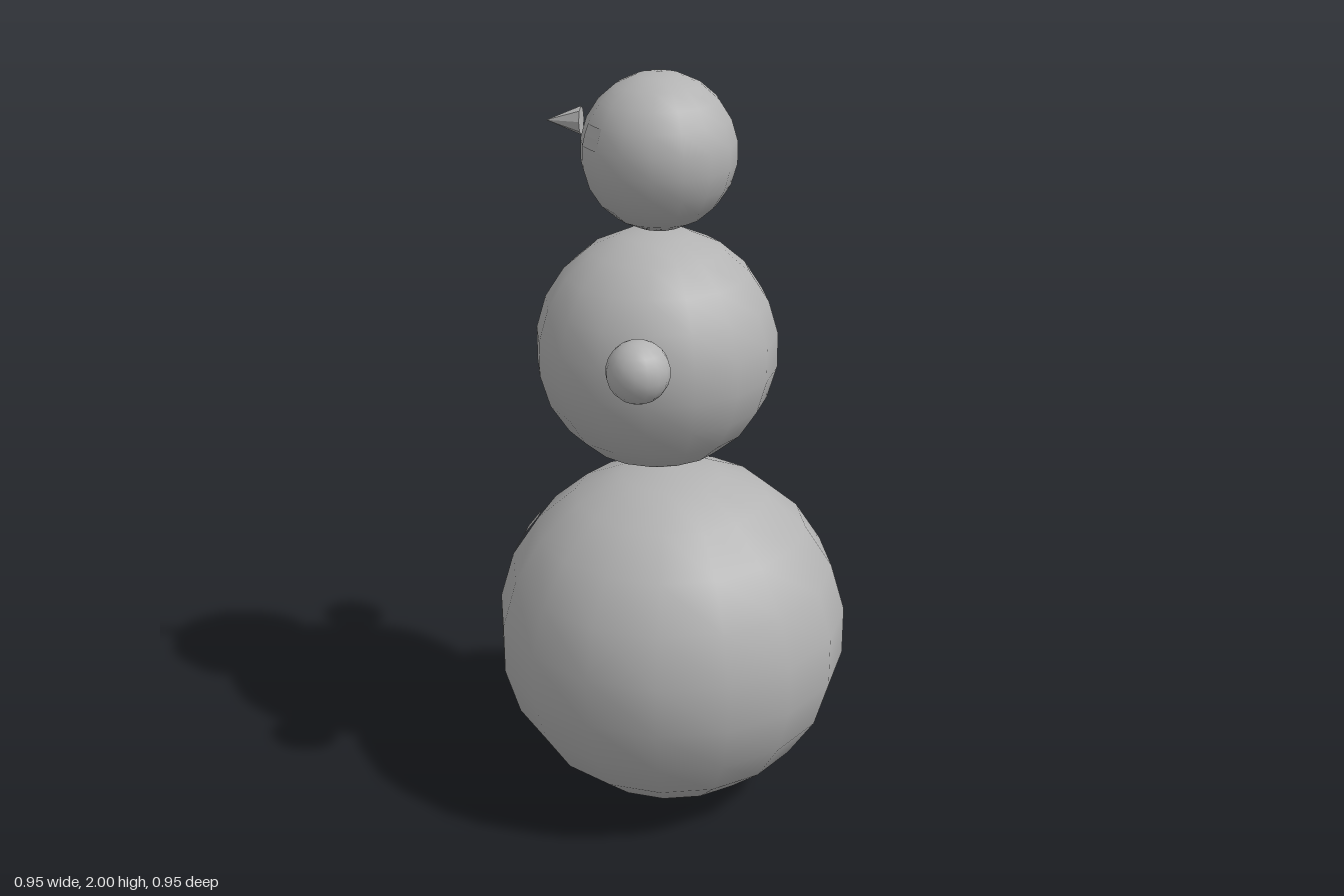
import * as THREE from 'three';

const COLS = 16, ROWS = 11;
const DPHI = (Math.PI * 2) / COLS, DTHETA = Math.PI / ROWS;

export function createModel() {
  const model = new THREE.Group();
  model.name = 'snowman';
  const grey = new THREE.MeshStandardMaterial({ color: 0xb3b3b3 });
  grey.name = 'grey';

  // A smooth ball; details are single flat facets [column, row, name] of its grid
  function ball(name, r, x, y, z, details = []) {
    const group = new THREE.Group();
    group.name = name;
    group.position.set(x, y, z);
    const sphere = new THREE.Mesh(new THREE.SphereGeometry(r, COLS, ROWS), grey);
    sphere.name = name + 'Ball';
    group.add(sphere);
    for (const [col, row, label] of details) {
      const geo = new THREE.SphereGeometry(r * 1.002, 1, 1,
        col * DPHI, DPHI, row * DTHETA, DTHETA).toNonIndexed();
      geo.computeVertexNormals();
      const facet = new THREE.Mesh(geo, grey);
      facet.name = label;
      group.add(facet);
    }
    model.add(group);
  }

  // Stacked balls, with buttons and face all looking along column 13
  ball('base', 0.478, 0, 0.478, 0, [[13, 3, 'upperBaseButton'], [13, 5, 'lowerBaseButton']]);
  ball('torso', 0.318, -0.008, 1.283, -0.049, [[13, 4, 'upperTorsoButton'], [13, 6, 'lowerTorsoButton']]);
  ball('head', 0.199, 0.001, 1.801, -0.049, [[11, 4, 'rightEye'], [15, 4, 'leftEye'], [13, 5, 'mouth']]);

  // Hands
  ball('rightHand', 0.0796, -0.273, 1.352, 0.198);
  ball('leftHand', 0.0796, 0.206, 1.312, -0.369);

  // Nose: narrow cone with a tall oval base, leaning slightly to one side
  const foot = new THREE.Vector3(-0.113, 1.865, -0.216);
  const tip = new THREE.Vector3(-0.177, 1.865, -0.277);
  const cone = new THREE.ConeGeometry(1, 1, 8).translate(0, 0.5, 0);
  cone.applyMatrix4(new THREE.Matrix4().makeBasis(
    new THREE.Vector3(-0.017, 0, 0.011),
    tip.clone().sub(foot),
    new THREE.Vector3(0, 0.037, 0)
  ).setPosition(foot));
  const flatCone = cone.toNonIndexed();
  // Keep the outside facing out whatever the handedness of the lean
  const p = flatCone.attributes.position;
  const a = new THREE.Vector3(), b = new THREE.Vector3(), c = new THREE.Vector3();
  const middle = foot.clone().lerp(tip, 0.3);
  for (let i = 0; i < p.count; i += 3) {
    a.fromBufferAttribute(p, i);
    b.fromBufferAttribute(p, i + 1);
    c.fromBufferAttribute(p, i + 2);
    const n = b.clone().sub(a).cross(c.clone().sub(a));
    if (n.dot(a.clone().sub(middle)) < 0) {
      p.setXYZ(i + 1, c.x, c.y, c.z);
      p.setXYZ(i + 2, b.x, b.y, b.z);
    }
  }
  flatCone.computeVertexNormals();
  const nose = new THREE.Mesh(flatCone, grey);
  nose.name = 'nose';
  model.add(nose);

  return model;
}
